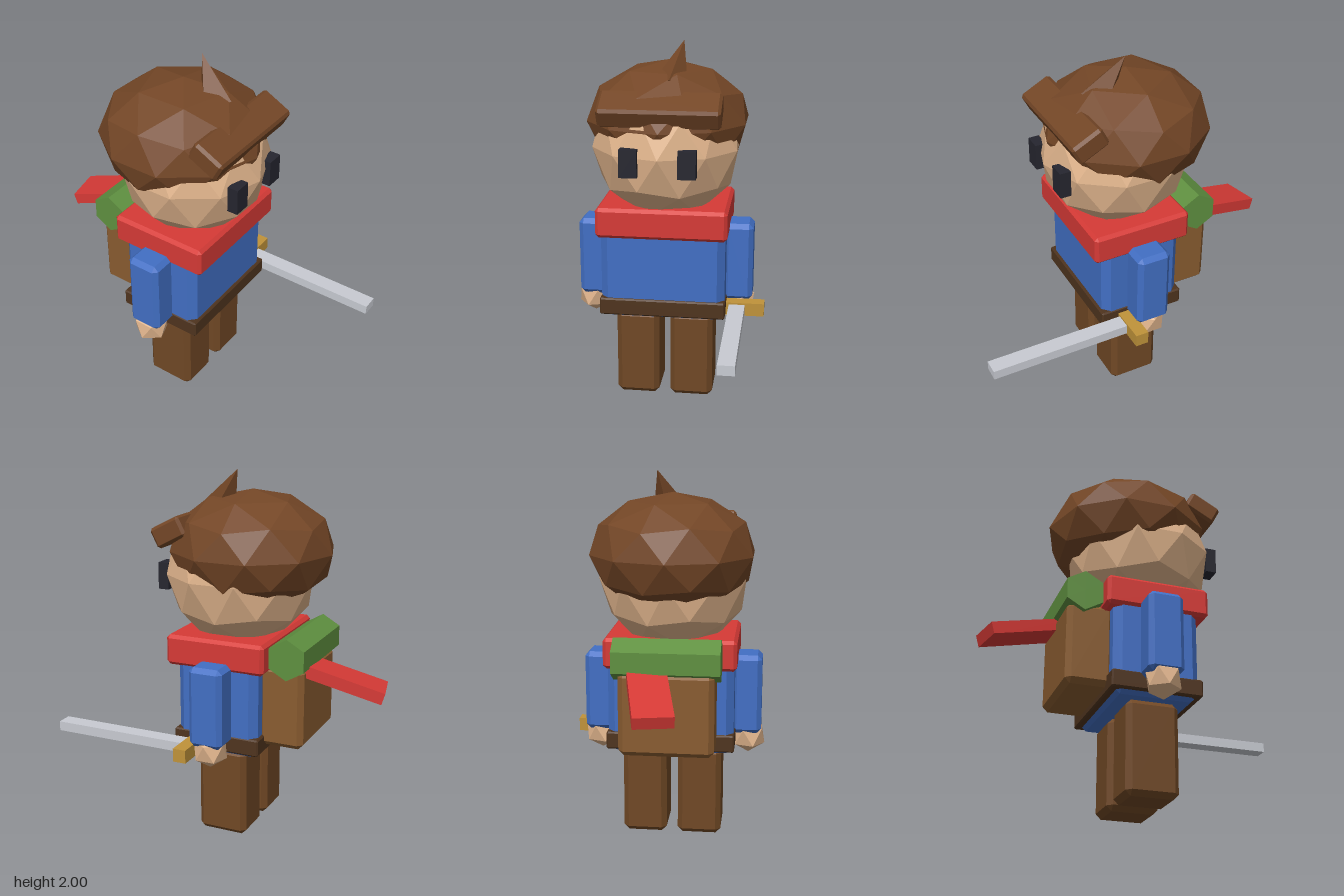
import * as THREE from 'three';
import { ConvexGeometry } from 'three/addons/geometries/ConvexGeometry.js';

const COLORS = {
  hair: 0x734626, skin: 0xe0b48c, blue: 0x426fc4, red: 0xd63a36, green: 0x5f9040,
  trousers: 0x704825, belt: 0x4f341e, pack: 0x895c30, eye: 0x26262f, gold: 0xc0933a, steel: 0xc8cbd2,
};
const MID = -0.03; // centre line of the body
const DEPTH = -0.035;

export function createModel() {
  const model = new THREE.Group();
  model.name = 'adventurer';

  const materials = {};
  for (const [key, color] of Object.entries(COLORS)) {
    materials[key] = new THREE.MeshStandardMaterial({ color, flatShading: true });
  }

  function add(name, geometry, color, x, y, z) {
    const mesh = new THREE.Mesh(geometry, materials[color]);
    mesh.name = name;
    mesh.position.set(x, y, z);
    model.add(mesh);
    return mesh;
  }

  // Box whose edges and corners are cut off by b
  function chamferBox(w, h, d, b) {
    const points = [];
    for (const x of [-1, 1]) for (const y of [-1, 1]) for (const z of [-1, 1]) {
      const X = x * w / 2, Y = y * h / 2, Z = z * d / 2;
      points.push(
        new THREE.Vector3(X, Y - y * b, Z - z * b),
        new THREE.Vector3(X - x * b, Y, Z - z * b),
        new THREE.Vector3(X - x * b, Y - y * b, Z),
      );
    }
    return new ConvexGeometry(points);
  }

  // Icosphere with a corner at each pole and five-fold rings between
  function icosphere(radius, detail) {
    const vertices = [0, 1, 0], faces = [];
    for (const [offset, y] of [[0, 0.4472], [0.5, -0.4472]]) {
      for (let i = 0; i < 5; i++) {
        const a = (i + offset) * Math.PI * 0.4;
        vertices.push(0.8944 * Math.cos(a), y, -0.8944 * Math.sin(a));
      }
    }
    vertices.push(0, -1, 0);
    for (let i = 0; i < 5; i++) {
      const j = (i + 1) % 5;
      faces.push(0, 1 + i, 1 + j, 1 + i, 6 + i, 1 + j, 1 + j, 6 + i, 6 + j, 6 + i, 11, 6 + j);
    }
    return new THREE.PolyhedronGeometry(vertices, faces, radius, detail);
  }

  // Head and hair
  add('head', icosphere(0.41, 1), 'skin', MID, 1.44, DEPTH);
  add('hair', icosphere(1, 1).scale(0.45, 0.32, 0.45), 'hair', MID, 1.57, -0.1);
  const fringe = add('fringe', chamferBox(0.64, 0.115, 0.185, 0.015), 'hair', MID, 1.68, 0.25);
  fringe.rotation.x = 0.48;

  // Tuft leaning back from the crown
  const tuftBase = new THREE.Vector3(0, 1.77, 0.08);
  const tuftLine = new THREE.Vector3(0.06, 2.0, -0.05).sub(tuftBase);
  const tuftHeight = tuftLine.length();
  const tuft = add('tuft', new THREE.ConeGeometry(0.1, tuftHeight, 4).translate(0, tuftHeight / 2, 0),
    'hair', ...tuftBase.toArray());
  tuft.quaternion.setFromUnitVectors(new THREE.Vector3(0, 1, 0), tuftLine.normalize());

  // Torso, belt and scarf
  add('torso', chamferBox(0.68, 0.54, 0.46, 0.04), 'blue', MID, 0.77, DEPTH);
  add('belt', chamferBox(0.69, 0.095, 0.49, 0.008), 'belt', MID, 0.568, DEPTH);
  add('scarf', chamferBox(0.71, 0.165, 0.56, 0.018), 'red', MID, 1.058, -0.03);
  const tail = add('scarfTail', new THREE.BoxGeometry(0.205, 0.065, 0.55), 'red', 0.04, 0.943, -0.607);
  tail.rotation.set(-0.29, 0.21, 0, 'YXZ');

  // Paired parts
  for (const [side, s] of [['left', 1], ['right', -1]]) {
    add(side + 'Eye', new THREE.BoxGeometry(0.094, 0.146, 0.06), 'eye', MID + s * 0.152, 1.418, 0.34);
    add(side + 'Arm', chamferBox(0.16, 0.44, 0.19, 0.025), 'blue', MID + s * 0.405, 0.8, DEPTH);
    add(side + 'Hand', icosphere(0.1, 0), 'skin', MID - 0.005 + s * 0.41, 0.55, DEPTH);
    add(side + 'Leg', chamferBox(0.24, 0.5, 0.28, 0.028), 'trousers', MID + s * 0.151, 0.25, DEPTH);
  }

  // Backpack and bedroll
  add('backpack', chamferBox(0.5, 0.45, 0.25, 0.028), 'pack', MID, 0.78, -0.367);
  const roll = new THREE.CylinderGeometry(0.112, 0.112, 0.56, 6).rotateZ(Math.PI / 2);
  // A corner of the hexagon points straight up
  roll.computeBoundingBox();
  if (roll.boundingBox.max.y < 0.11) roll.rotateX(Math.PI / 6);
  add('bedroll', roll, 'green', MID, 1.06, -0.41);

  // Sword held in the left hand
  add('swordGuard', new THREE.BoxGeometry(0.22, 0.073, 0.073), 'gold', 0.415, 0.55, 0.076);
  add('swordBlade', new THREE.BoxGeometry(0.088, 0.053, 0.8), 'steel', 0.375, 0.55, 0.49);

  return model;
}
